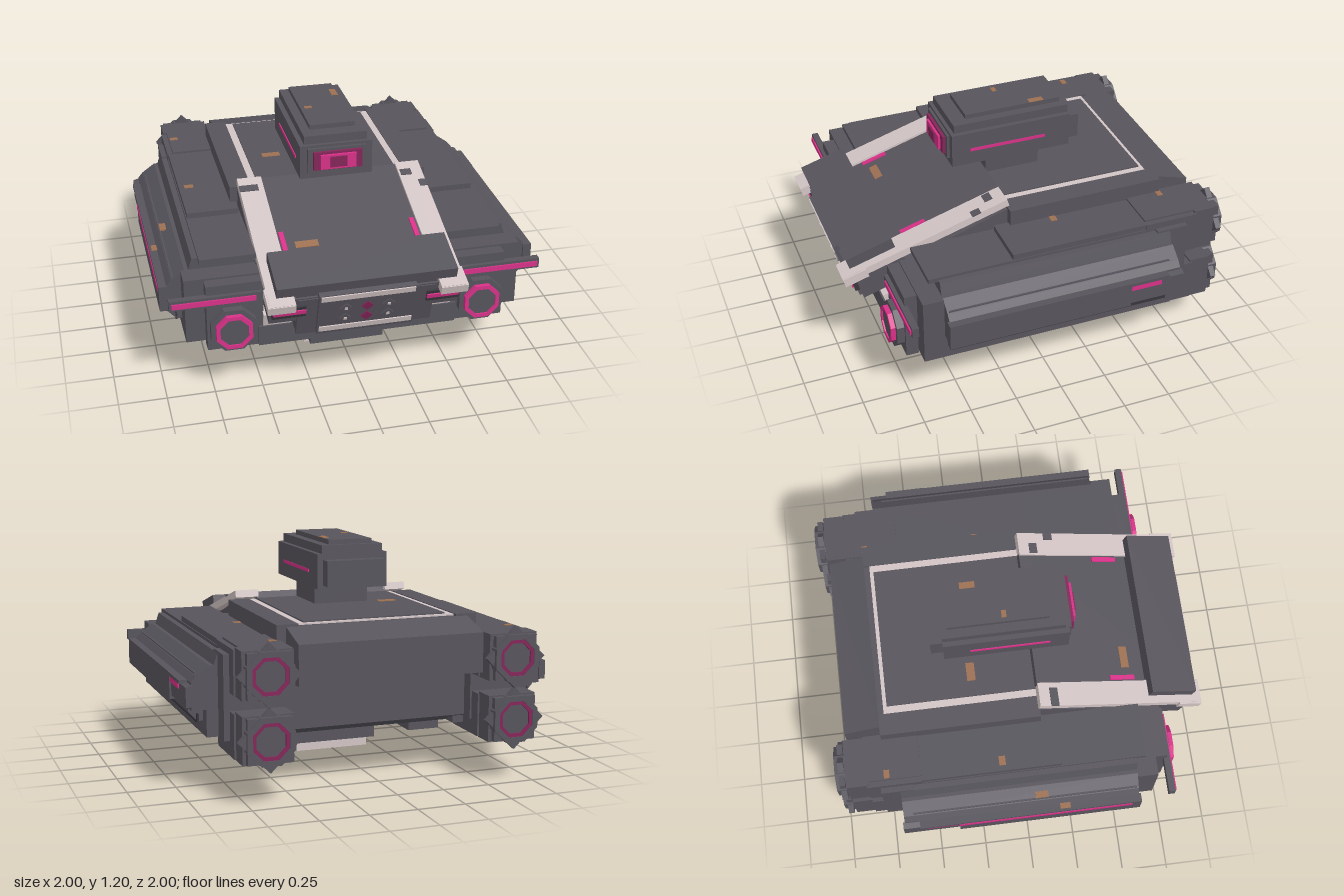
import * as THREE from 'three';

const mat = (name, color) => {
  const m = new THREE.MeshStandardMaterial({ color });
  m.name = name;
  return m;
};

export function createModel() {
  const root = new THREE.Group();
  root.name = 'hoverTank';
  const armour = mat('armour grey', 0x57545c);
  const dark = mat('shadow grey', 0x39373d);
  const pale = mat('pale trim', 0xd2c4c4);
  const pink = mat('pink glow', 0xd83088);
  const plum = mat('deep pink', 0x842659);
  const rust = mat('rust', 0x9c7052);

  const add = (name, geo, m, parent = root) => {
    const mesh = new THREE.Mesh(geo, m);
    mesh.name = name;
    parent.add(mesh);
    return mesh;
  };
  // box from its limits: x, y, z pairs
  const box = (name, m, [x0, x1], [y0, y1], [z0, z1], parent = root) => {
    const b = add(name, new THREE.BoxGeometry(Math.abs(x1 - x0), y1 - y0, z1 - z0), m, parent);
    b.position.set((x0 + x1) / 2, (y0 + y1) / 2, (z0 + z1) / 2);
    return b;
  };
  // the same box on both sides
  const pair = (name, m, [x0, x1], y, z, parent = root) => {
    for (const s of [1, -1]) box(name, m, [s * x0, s * x1], y, z, parent);
  };
  const shapeOf = (pts) => new THREE.Shape(pts.map(([x, y]) => new THREE.Vector2(x, y)));
  const prism = (name, m, pts, z0, z1, parent = root) => {
    const geo = new THREE.ExtrudeGeometry(shapeOf(pts), { depth: z1 - z0, bevelEnabled: false });
    const p = add(name, geo, m, parent);
    p.position.z = z0;
    return p;
  };
  // profile given as [z, y], extruded across x
  const across = (name, m, pts, x0, x1) => {
    const geo = new THREE.ExtrudeGeometry(shapeOf(pts.map(([z, y]) => [-z, y])), { depth: x1 - x0, bevelEnabled: false });
    geo.rotateY(Math.PI / 2);
    add(name, geo, m).position.x = x0;
  };
  const octagon = (r) => Array.from({ length: 8 }, (_, i) => {
    const a = (i + 0.5) * Math.PI / 4;
    return [r * Math.cos(a), r * Math.sin(a)];
  });
  const octRing = (name, m, r, hole, z0, z1, parent) => {
    const s = shapeOf(octagon(r));
    s.holes.push(new THREE.Path(octagon(hole).map(([x, y]) => new THREE.Vector2(x, y))));
    const p = add(name, new THREE.ExtrudeGeometry(s, { depth: z1 - z0, bevelEnabled: false }), m, parent);
    p.position.z = z0;
  };

  // central hull
  across('hull', armour, [[0.62, 0.27], [0.6, 0.24], [-0.55, 0.24], [-0.7, 0.3], [-0.7, 0.83],
    [0.12, 0.83], [0.62, 0.66]], -0.5, 0.5);
  across('rearDeck', armour, [[-0.7, 0.55], [-0.7, 0.83], [-0.74, 0.83], [-0.93, 0.775], [-0.93, 0.57]], -0.49, 0.49);
  box('rearTrim', pale, [-0.42, 0.42], [0.535, 0.555], [-0.74, -0.69]);
  box('chin', armour, [-0.52, 0.52], [0.27, 0.38], [0.55, 0.78]);
  box('chinLip', armour, [-0.3, 0.3], [0.235, 0.27], [0.5, 0.7]);
  box('deckTrim', pale, [-0.425, 0.425], [0.82, 0.838], [-0.71, 0.12]);
  box('deckPlate', armour, [-0.385, 0.385], [0.82, 0.845], [-0.69, 0.12]);
  pair('deckRail', armour, [0.425, 0.54], [0.66, 0.842], [-0.74, 0.11]);

  // underside rails and landing foot
  pair('bellyRail', armour, [0.285, 0.46], [0.175, 0.27], [-0.47, 0.42]);
  pair('railPad', armour, [0.285, 0.46], [0.147, 0.18], [0.04, 0.29]);
  box('footBlock', armour, [-0.23, 0.23], [0.06, 0.25], [-0.12, 0.46]);
  box('footFront', armour, [-0.2, 0.2], [0.075, 0.175], [0.46, 0.54]);
  box('footPad', pale, [-0.205, 0.205], [0, 0.06], [-0.06, 0.4]);

  // side pods
  const podProfile = [[0.45, 0.25], [0.77, 0.25], [0.77, 0.29], [0.88, 0.29], [0.88, 0.43], [0.955, 0.43],
    [0.955, 0.57], [0.93, 0.6], [0.86, 0.65], [0.84, 0.65], [0.82, 0.71], [0.45, 0.71]];
  for (const s of [1, -1]) {
    const mirror = (pts) => pts.map(([x, y]) => [s * x, y]);
    prism('sidePod', armour, mirror(podProfile), -0.67, 0.59);
    prism('sideFlare', armour, mirror([[0.95, 0.45], [0.985, 0.45], [0.985, 0.55], [0.95, 0.56]]), -0.68, -0.38);
    prism('lowerSkirt', armour, mirror([[0.87, 0.36], [0.91, 0.36], [0.955, 0.41], [0.955, 0.43], [0.87, 0.43]]), -0.6, 0.57);
  }
  pair('rearSideStrip', pink, [0.984, 0.992], [0.52, 0.552], [-0.55, -0.37]);
  pair('flareLip', armour, [0.95, 0.997], [0.552, 0.57], [-0.59, -0.37]);
  box('longSideStrip', pink, [-0.998, -0.99], [0.52, 0.55], [-0.38, 0.55]);
  pair('sidePanel', armour, [0.95, 0.995], [0.43, 0.57], [-0.38, 0.6]);
  pair('sideSlot', dark, [0.905, 0.915], [0.355, 0.4], [-0.62, 0.57]);
  pair('sideStep', armour, [0.87, 0.925], [0.57, 0.61], [-0.62, 0.58]);
  pair('podFront', armour, [0.45, 0.88], [0.29, 0.65], [0.59, 0.7]);
  pair('podNose', armour, [0.49, 0.78], [0.27, 0.64], [0.7, 0.765]);
  pair('podTop', armour, [0.5, 0.79], [0.7, 0.725], [-0.55, 0.64]);
  pair('podTopPlate', armour, [0.51, 0.785], [0.72, 0.755], [-0.6, 0.19]);
  pair('frontFin', armour, [0.5, 0.967], [0.535, 0.59], [0.75, 0.785]);
  pair('frontFinStrip', pink, [0.53, 0.955], [0.548, 0.575], [0.784, 0.793]);

  // headlights
  for (const s of [1, -1]) {
    const lamp = new THREE.Group();
    lamp.name = 'headlight';
    lamp.position.set(s * 0.65, 0.395, 0.8);
    root.add(lamp);
    prism('lampHousing', armour, octagon(0.125), -0.04, 0.005, lamp);
    octRing('lampRing', pink, 0.1, 0.078, 0, 0.03, lamp);
    prism('lampLens', armour, octagon(0.08), 0, 0.022, lamp);
  }

  // rear thrusters, two per side
  for (const s of [1, -1]) for (const y of [0.645, 0.328]) {
    const t = new THREE.Group();
    t.name = 'thruster';
    t.position.set(s * 0.65, y, 0);
    root.add(t);
    box('thrusterBody', armour, [-0.14, 0.14], [-0.115, 0.11], [-0.84, -0.55], t);
    box('thrusterCollar', armour, [-0.13, 0.13], [-0.12, 0.12], [-0.945, -0.83], t);
    prism('nozzlePlate', armour, octagon(0.13), -0.985, -0.94, t);
    octRing('nozzleRim', armour, 0.13, 0.1, -1, -0.985, t);
    octRing('nozzleGlow', plum, 0.1, 0.08, -0.995, -0.98, t);
    for (let i = 0; i < 8; i++) {
      const spike = prism('nozzleSpike', armour, [[-0.045, 0.115], [0.045, 0.115], [0, 0.16]], -0.98, -0.95, t);
      spike.rotation.z = i * Math.PI / 4;
    }
  }
  pair('thrusterMount', armour, [0.5, 0.82], [0.29, 0.72], [-0.77, -0.6]);
  pair('upperFairing', armour, [0.52, 0.76], [0.7, 0.765], [-0.84, -0.55]);

  // sloping hood with nose, built level and pitched forward
  const hood = new THREE.Group();
  hood.name = 'hood';
  hood.position.set(0, 0.89, 0.112);
  hood.rotation.x = 0.295;
  root.add(hood);
  box('hoodPlate', armour, [-0.38, 0.38], [-0.08, -0.012], [0, 0.88], hood);
  pair('hoodTrim', pale, [0.37, 0.5], [-0.04, 0], [0, 0.925], hood);
  pair('trimTip', pale, [0.37, 0.51], [-0.05, -0.002], [0.8, 0.93], hood);
  box('trimNotch', armour, [-0.5, -0.4], [-0.003, 0.003], [0.06, 0.105], hood);
  box('trimNotch', armour, [0.38, 0.44], [-0.003, 0.003], [0.06, 0.105], hood);
  box('trimNotch', armour, [0.46, 0.502], [-0.003, 0.003], [0.15, 0.2], hood);
  pair('hoodStrip', pink, [0.335, 0.36], [-0.015, -0.004], [0.42, 0.56], hood);
  box('browPlate', armour, [-0.46, 0.46], [0.008, 0.068], [0.62, 0.875], hood);
  box('browBase', armour, [-0.36, 0.36], [-0.03, 0.01], [0.62, 0.87], hood);
  box('noseBlock', armour, [-0.35, 0.35], [-0.27, -0.02], [0.5, 0.885], hood);
  box('noseFace', armour, [-0.25, 0.25], [-0.262, 0.012], [0.87, 0.905], hood);
  pair('noseCheek', armour, [0.33, 0.49], [-0.18, -0.04], [0.6, 0.87], hood);
  pair('cheekPlate', dark, [0.31, 0.48], [-0.125, -0.055], [0.86, 0.895], hood);
  pair('cheekLight', pink, [0.31, 0.475], [-0.1, -0.075], [0.89, 0.902], hood);
  pair('jawTrim', pale, [0.35, 0.495], [-0.3, -0.22], [0.62, 0.78], hood);
  for (const y of [-0.008, -0.225])
    box('grilleTrim', pale, [-0.24, 0.24], [y - 0.016, y + 0.016], [0.9, 0.911], hood);
  for (const x of [-0.11, 0, 0.11]) for (const y of [-0.087, -0.16]) {
    const stud = box('noseStud', x ? armour : plum, [-0.022, 0.022], [-0.022, 0.022], [0, 0.008], hood);
    stud.position.set(x, y, 0.908);
    stud.rotation.z = Math.PI / 4;
    if (x) box('studTip', pale, [x - 0.008, x + 0.008], [y - 0.008, y + 0.008], [0.91, 0.915], hood);
  }

  // turret
  box('turretNeck', armour, [-0.15, 0.15], [0.83, 0.96], [-0.2, 0.1]);
  box('turretBody', armour, [-0.197, 0.19], [0.945, 1.13], [-0.36, 0.3]);
  box('turretCap', armour, [-0.17, 0.165], [1.12, 1.175], [-0.36, 0.28]);
  box('turretTop', armour, [-0.122, 0.118], [1.17, 1.2], [-0.33, 0.2]);
  box('turretRear', armour, [-0.165, 0.16], [0.965, 1.1], [-0.425, -0.35]);
  box('eyeFrame', armour, [-0.158, 0.152], [0.98, 1.115], [0.29, 0.315]);
  box('eyeRim', plum, [-0.13, 0.13], [1, 1.1], [0.31, 0.332]);
  box('eyeGlow', pink, [-0.095, 0.095], [1.008, 1.088], [0.325, 0.345]);
  box('eyePupil', plum, [-0.045, 0.045], [1.02, 1.078], [0.34, 0.352]);
  for (const x of [-0.199, 0.19])
    box('turretStrip', pink, [x - 0.003, x + 0.003], [1.02, 1.037], [-0.22, 0.2]);

  // rust patches: x, z, width, depth, surface height
  for (const [x, z, w, d, y] of [[-0.25, -0.23, 0.1, 0.045, 0.845], [0.1, -0.2, 0.035, 0.08, 1.2],
    [-0.08, -0.03, 0.04, 0.025, 1.2], [-0.73, -0.12, 0.05, 0.035, 0.755], [0.56, -0.12, 0.045, 0.035, 0.755],
    [-0.73, -0.73, 0.045, 0.03, 0.765], [0.56, -0.73, 0.04, 0.03, 0.765], [-0.905, 0.07, 0.035, 0.07, 0.627],
    [-0.968, 0.19, 0.03, 0.055, 0.571]])
    box('rustPatch', rust, [x - w / 2, x + w / 2], [y - 0.005, y + 0.003], [z - d / 2, z + d / 2]);
  box('hoodRust', rust, [-0.29, -0.17], [-0.014, -0.009], [0.495, 0.54], hood);
  box('chinRust', rust, [-0.34, -0.22], [0.34, 0.358], [0.778, 0.783]);
  box('lipRust', rust, [-0.2, -0.12], [0.247, 0.262], [0.698, 0.703]);
  for (const [x, z] of [[0.49, -0.14], [-0.11, -0.22], [-0.53, -0.35]])
    box('bellyRust', rust, [x - 0.025, x + 0.025], [0.237, 0.252], [z - 0.025, z + 0.025]);
  return root;
}
